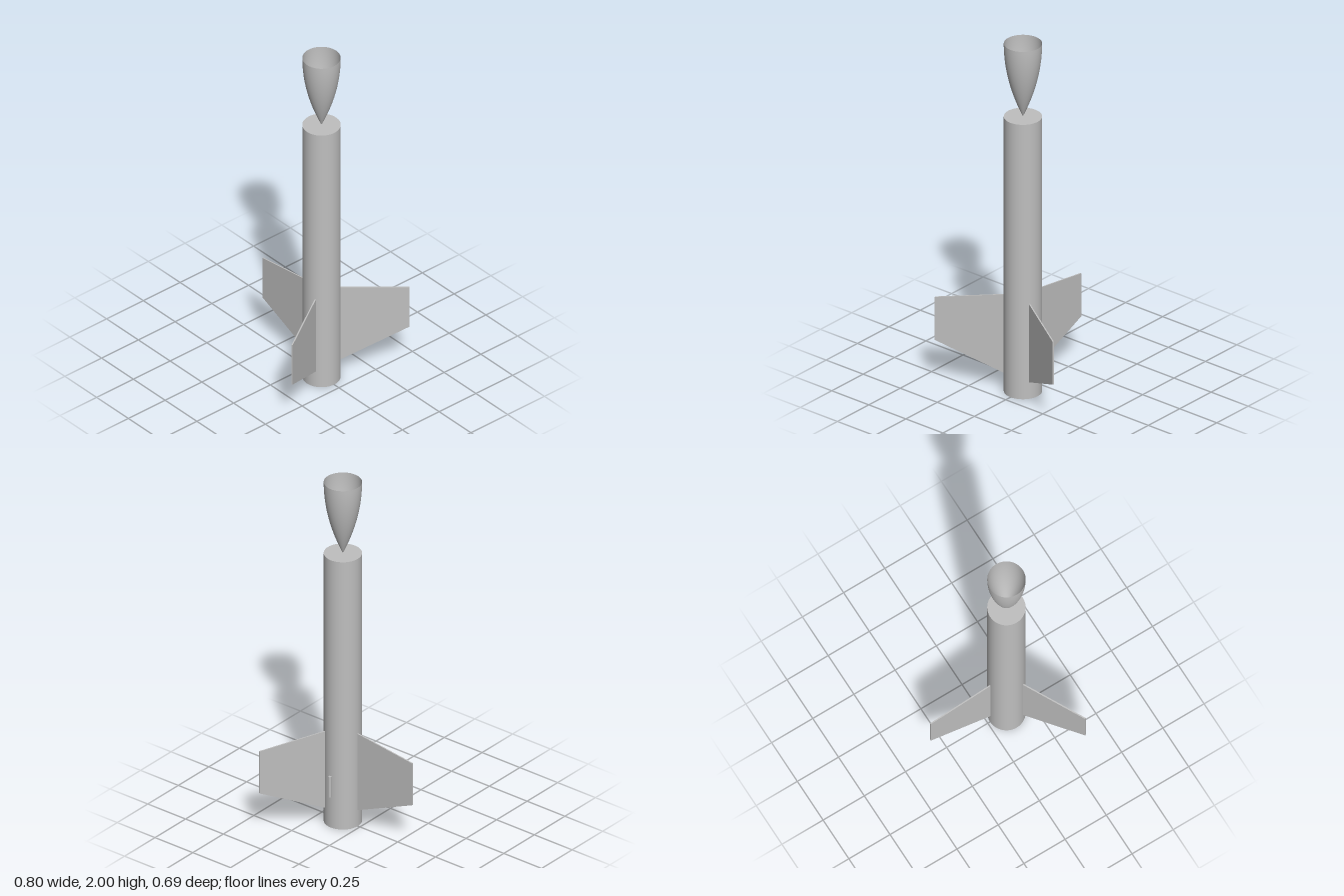
import * as THREE from 'three';

const R = 0.099;        // body radius
const BODY_H = 1.58;
const NOSE_H = 0.42;
const FIN_TIP = 0.461;  // fin reach from the axis
const FIN_T = 0.007;
const AXIS_Z = 0.113;   // the single rear fin pushes the axis forward

export function createModel() {
  const grey = new THREE.MeshStandardMaterial({ color: 0xbfbfbf });
  grey.name = 'lightGrey';
  const greyShell = new THREE.MeshStandardMaterial({ color: 0xbfbfbf, side: THREE.DoubleSide });
  greyShell.name = 'lightGreyShell';

  const model = new THREE.Group();
  model.name = 'rocket';

  const add = (name, geometry, material, x, y, z) => {
    const mesh = new THREE.Mesh(geometry, material);
    mesh.name = name;
    mesh.position.set(x, y, z);
    model.add(mesh);
    return mesh;
  };

  // Body tube with closed ends
  add('bodyTube', new THREE.CylinderGeometry(R, R, BODY_H, 64), grey, 0, BODY_H / 2, AXIS_Z);

  // Hollow nose cone, standing on its point with the open end up
  const profile = [];
  for (let i = 0; i <= 24; i++) {
    const t = i / 24;
    profile.push(new THREE.Vector2(R * (1 - (1 - t) ** 2), t * NOSE_H));
  }
  add('noseCone', new THREE.LatheGeometry(profile, 64), greyShell, 0, BODY_H, AXIS_Z);

  // Three swept fins, 120 degrees apart
  const finShape = new THREE.Shape([
    new THREE.Vector2(R - 0.001, 0.095),
    new THREE.Vector2(FIN_TIP, 0.253),
    new THREE.Vector2(FIN_TIP, 0.5),
    new THREE.Vector2(R - 0.001, 0.547),
  ]);
  const finGeo = new THREE.ExtrudeGeometry(finShape, { depth: FIN_T, bevelEnabled: false });
  finGeo.translate(0, 0, -FIN_T / 2);
  [['rearFin', 90], ['leftFin', -30], ['rightFin', 210]].forEach(([name, deg]) => {
    add(name, finGeo, grey, 0, 0, AXIS_Z).rotation.y = THREE.MathUtils.degToRad(deg);
  });

  // Launch lug on the left flank
  add('launchLug', new THREE.CylinderGeometry(0.008, 0.008, 0.12, 20), grey, R + 0.008, 0.245, AXIS_Z);

  return model;
}
